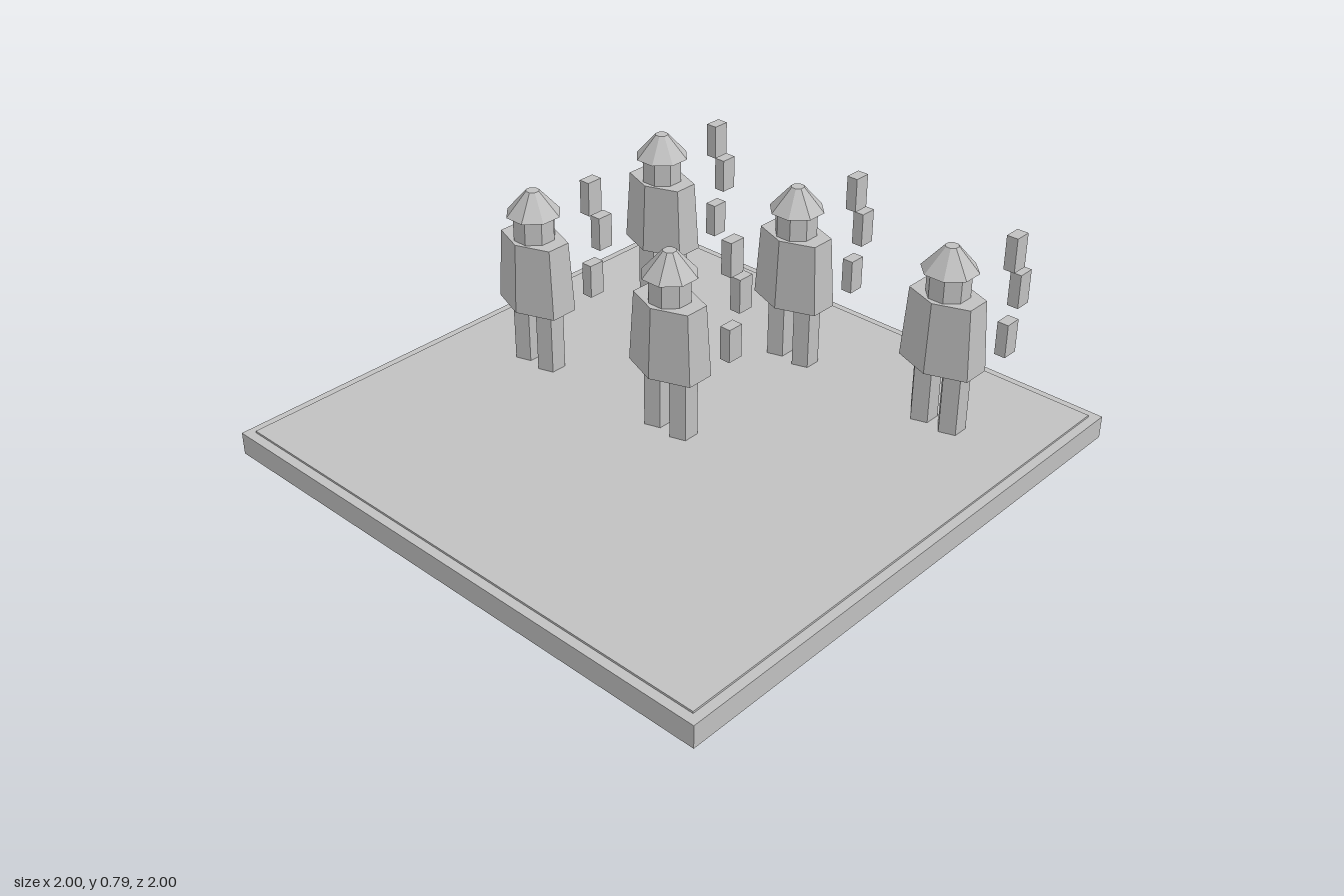
import * as THREE from 'three';

const grey = new THREE.MeshStandardMaterial({ color: 0xc0c0c0 });
grey.name = 'stone grey';
grey.flatShading = true;

function part(name, geometry, x, y, z, parent) {
  const mesh = new THREE.Mesh(geometry, grey);
  mesh.name = name;
  mesh.position.set(x, y, z);
  parent.add(mesh);
  return mesh;
}

// Faceted tapered prism standing between two heights
function prism(name, rTop, rBottom, y0, y1, sides, parent, x = 0) {
  const geometry = new THREE.CylinderGeometry(rTop, rBottom, y1 - y0, sides);
  return part(name, geometry, x, (y0 + y1) / 2, 0, parent);
}

function createFigure() {
  const figure = new THREE.Group();
  figure.name = 'figure';

  // Five-sided legs with a flat face towards +x
  for (const side of [-1, 1]) {
    const leg = prism(side < 0 ? 'rightLeg' : 'leftLeg', 0.049, 0.049, 0.08, 0.315, 5, figure, side * 0.056);
    leg.rotation.y = -Math.PI / 2;
  }

  // Six-sided coat, flattened front to back
  const coat = prism('coat', 0.88, 1, 0.315, 0.567, 6, figure);
  coat.scale.set(0.154, 1, 0.1);

  // Eight-sided head and hat, flat face forward
  const head = prism('head', 0.073, 0.073, 0.567, 0.655, 8, figure);
  const hat = prism('hat', 0.023, 0.095, 0.655, 0.738, 8, figure);
  head.rotation.y = hat.rotation.y = Math.PI / 8;

  // Three floating blocks behind the left shoulder
  const blocks = [[0.731, -0.113], [0.586, -0.158], [0.425, -0.113]];
  for (const [y, z] of blocks) {
    part('floatingBlock', new THREE.BoxGeometry(0.04, 0.119, 0.058), 0.159, y, z, figure);
  }
  return figure;
}

export function createModel() {
  const model = new THREE.Group();
  model.name = 'figuresOnBase';

  // Square base with a slightly raised inset panel
  part('base', new THREE.BoxGeometry(2, 0.08, 2), 0, 0.04, 0, model);
  part('basePanel', new THREE.BoxGeometry(1.935, 0.007, 1.935), 0, 0.0835, 0, model);

  // Three figures in the back row, two in the middle row
  const spots = [[-0.62, -0.595], [0, -0.595], [0.62, -0.595], [-0.62, 0.025], [0, 0.025]];
  for (const [x, z] of spots) {
    const figure = createFigure();
    figure.position.set(x, 0, z);
    model.add(figure);
  }
  return model;
}
